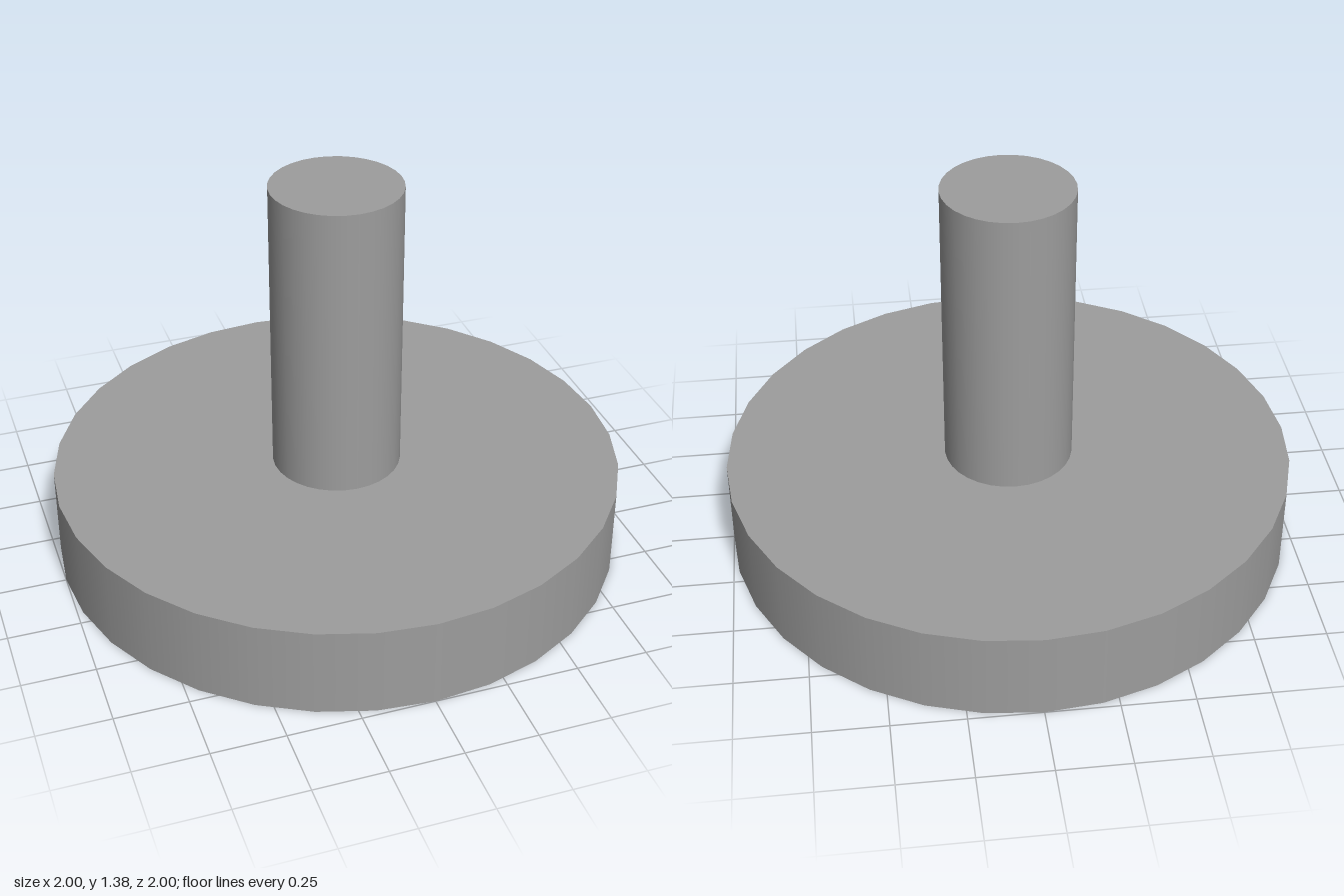
import * as THREE from 'three';

const SIDES = 32;

export function createModel() {
  const group = new THREE.Group();
  const material = new THREE.MeshStandardMaterial({ color: 0x9d9d9d });

  // Upright cylinder standing between two heights
  function addDisc(name, radius, bottom, top) {
    const geometry = new THREE.CylinderGeometry(radius, radius, top - bottom, SIDES);
    const mesh = new THREE.Mesh(geometry, material);
    mesh.name = name;
    mesh.position.y = (bottom + top) / 2;
    group.add(mesh);
  }

  addDisc('base', 1, 0, 0.317); // wide round foot
  addDisc('stem', 0.227, 0.317, 1.375); // central post

  return group;
}
